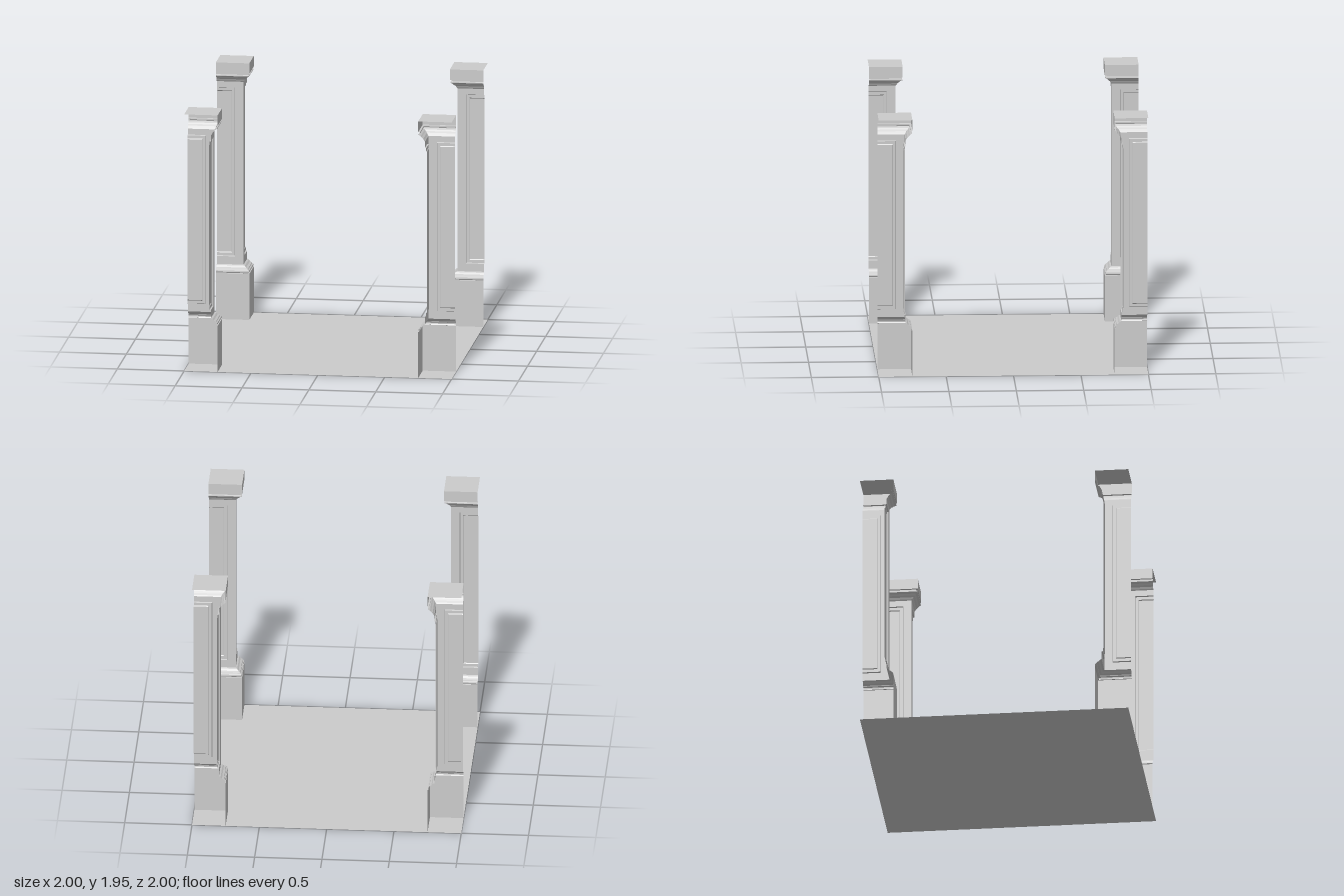
import * as THREE from 'three';

const material = new THREE.MeshStandardMaterial({ color: 0xcccccc, flatShading: true, side: THREE.DoubleSide });

// Mouldings as [distance from the outer edge, height], bottom to top
const BASE = [[0.25, 0], [0.25, 0.35], [0.243, 0.352], [0.248, 0.36], [0.247, 0.37], [0.238, 0.376],
  [0.236, 0.382], [0.222, 0.39], [0.212, 0.402], [0.2, 0.408]];
const CAPITAL = [[0.2, 1.797], [0.206, 1.805], [0.213, 1.818], [0.224, 1.828], [0.232, 1.838],
  [0.247, 1.848], [0.247, 1.854], [0.237, 1.858], [0.237, 1.868], [0.25, 1.87], [0.25, 1.95]];
// Shaft face and stepped panel as nested frames: [width, bottom, top, distance]
const PANEL = [[0.2, 0.408, 1.797, 0.2], [0.137, 0.468, 1.752, 0.2], [0.133, 0.472, 1.748, 0.19],
  [0.113, 0.494, 1.726, 0.19], [0.107, 0.5, 1.72, 0.185]];

// Quads given as corners [along, y, distance]; swapped builds the mirrored neighbouring face
function faceGeometry(quads, swapped) {
  const pos = [];
  for (const q of quads) {
    const order = swapped ? [0, 2, 1, 0, 3, 2] : [0, 1, 2, 0, 2, 3];
    for (const i of order) {
      const [s, y, d] = q[i];
      if (swapped) pos.push(1 - d, y, 1 - s);
      else pos.push(1 - s, y, 1 - d);
    }
  }
  const geo = new THREE.BufferGeometry();
  geo.setAttribute('position', new THREE.Float32BufferAttribute(pos, 3));
  geo.computeVertexNormals();
  return geo;
}

// Mitred moulding running from the open edge to the pillar's corner
function mouldingQuads(profile) {
  return profile.slice(1).map(([d1, y1], i) => {
    const [d0, y0] = profile[i];
    return [[0, y0, d0], [d0, y0, d0], [d1, y1, d1], [0, y1, d1]];
  });
}

// Frames stepping inward to the flat panel
function panelQuads(frames) {
  const loops = frames.map(([s, b, t, d]) => [[0, b, d], [s, b, d], [s, t, d], [0, t, d]]);
  const quads = [loops[loops.length - 1]];
  for (let k = 0; k + 1 < loops.length; k++) {
    const a = loops[k], c = loops[k + 1];
    for (let i = 0; i < 3; i++) quads.push([a[i], a[i + 1], c[i + 1], c[i]]);
  }
  return quads;
}

function addMesh(parent, name, geometry) {
  const mesh = new THREE.Mesh(geometry, material);
  mesh.name = name;
  parent.add(mesh);
  return mesh;
}

// Quarter pillar, open on its two outer sides
function createPillar() {
  const pillar = new THREE.Group();
  for (const swapped of [false, true]) {
    const side = swapped ? 'Second' : 'First';
    addMesh(pillar, 'base' + side, faceGeometry(mouldingQuads(BASE), swapped));
    addMesh(pillar, 'panelledShaft' + side, faceGeometry(panelQuads(PANEL), swapped));
    addMesh(pillar, 'capital' + side, faceGeometry(mouldingQuads(CAPITAL), swapped));
  }
  const top = addMesh(pillar, 'capTop', new THREE.PlaneGeometry(0.25, 0.25).rotateX(-Math.PI / 2));
  top.position.set(0.875, 1.95, 0.875);
  return pillar;
}

export function createModel() {
  const model = new THREE.Group();
  model.name = 'pillaredTile';

  addMesh(model, 'floor', new THREE.PlaneGeometry(2, 2).rotateX(-Math.PI / 2));

  // One pillar turned into each corner
  ['frontLeft', 'backLeft', 'backRight', 'frontRight'].forEach((corner, i) => {
    const pillar = createPillar();
    pillar.name = corner + 'Pillar';
    pillar.rotation.y = i * Math.PI / 2;
    model.add(pillar);
  });
  return model;
}
